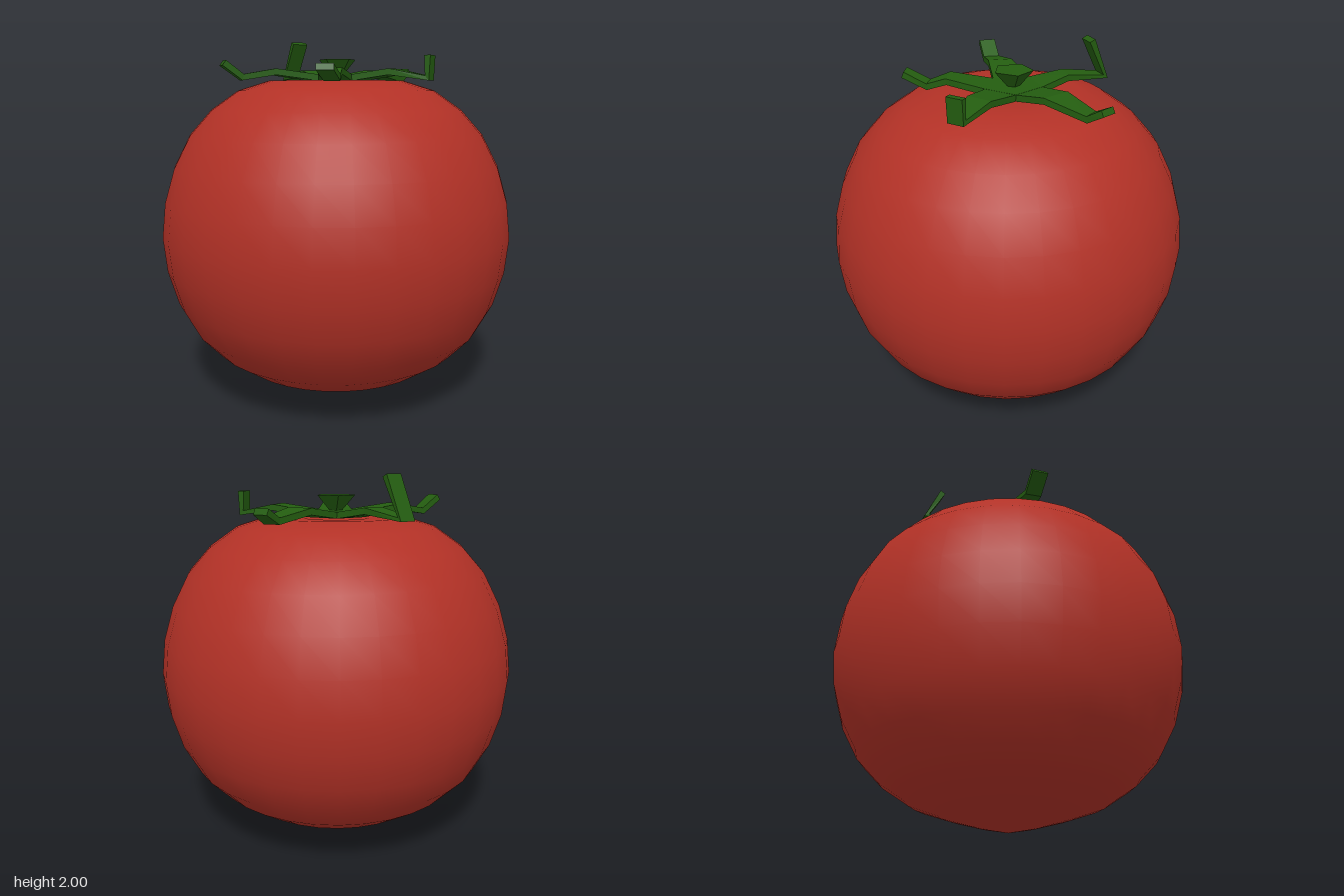
import * as THREE from 'three';

const red = new THREE.MeshStandardMaterial({ color: 0xb23126 });
red.name = 'tomatoRed';
const green = new THREE.MeshStandardMaterial({ color: 0x245d10, flatShading: true });
green.name = 'leafGreen';

// Corners between neighbouring sepals, [x, z], clockwise from the back left
const NOTCHES = [[-0.11, -0.13], [0.07, -0.17], [0.17, -0.01], [0.05, 0.13], [-0.12, 0.06]];

// Sepal cross-sections beyond the hub: [left x, left z, right x, right z, y]
const SEPALS = {
  sepalBack: [[-0.12, -0.32, -0.01, -0.33, 1.815], [-0.18, -0.54, -0.09, -0.56, 1.785], [-0.145, -0.445, -0.055, -0.465, 1.995]],
  sepalBackLeft: [[0.25, -0.26, 0.32, -0.12, 1.815], [0.45, -0.35, 0.51, -0.285, 1.78], [0.53, -0.41, 0.575, -0.34, 1.83]],
  sepalFrontLeft: [[0.32, 0.14, 0.22, 0.24, 1.815], [0.455, 0.285, 0.395, 0.355, 1.78], [0.455, 0.285, 0.395, 0.355, 1.9]],
  sepalFront: [[-0.06, 0.32, -0.18, 0.28, 1.815], [-0.1, 0.42, -0.18, 0.39, 1.78], [-0.17, 0.54, -0.255, 0.515, 1.83]],
  sepalRight: [[-0.35, 0.05, -0.35, -0.085, 1.815], [-0.53, 0.05, -0.53, -0.04, 1.785], [-0.63, 0.06, -0.635, -0.03, 1.86]],
};

// Sweeps a thin rectangular section through left/right point pairs
function ribbon(sections, thickness) {
  const left = sections.map(([x, z, , , y]) => new THREE.Vector3(x, y, z));
  const right = sections.map(([, , x, z, y]) => new THREE.Vector3(x, y, z));
  const mid = left.map((p, i) => p.clone().lerp(right[i], 0.5));
  const dir = (i) => mid[i + 1].clone().sub(mid[i]).normalize();
  const last = sections.length - 1;
  const rings = left.map((l, i) => {
    const tangent = new THREE.Vector3();
    if (i > 0) tangent.add(dir(i - 1));
    if (i < last) tangent.add(dir(i));
    const n = right[i].clone().sub(l).cross(tangent).normalize().multiplyScalar(thickness / 2);
    return [l.clone().add(n), right[i].clone().add(n), right[i].clone().sub(n), l.clone().sub(n)];
  });
  const points = [];
  const quad = (a, b, c, d) => points.push(a, b, c, a, c, d);
  for (let i = 0; i < last; i++) {
    for (let j = 0; j < 4; j++) {
      const k = (j + 1) % 4;
      quad(rings[i][j], rings[i][k], rings[i + 1][k], rings[i + 1][j]);
    }
  }
  const [a, b, c, d] = rings[0];
  quad(a, d, c, b);
  quad(...rings[last]);
  const geometry = new THREE.BufferGeometry().setFromPoints(points);
  geometry.computeVertexNormals();
  return geometry;
}

export function createModel() {
  const model = new THREE.Group();
  model.name = 'tomato';
  const add = (parent, name, geometry, material) => {
    const mesh = new THREE.Mesh(geometry, material);
    mesh.name = name;
    parent.add(mesh);
    return mesh;
  };

  // Fruit: pointed underside, shallow dimple on top
  const profile = [
    [0, 0], [0.19, 0.045], [0.375, 0.1], [0.545, 0.16], [0.695, 0.26], [0.815, 0.385],
    [0.905, 0.55], [0.96, 0.735], [0.98, 0.925], [0.96, 1.115], [0.905, 1.3], [0.815, 1.475],
    [0.695, 1.61], [0.545, 1.715], [0.375, 1.768], [0.19, 1.762], [0, 1.74],
  ].map(([x, y]) => new THREE.Vector2(x, y));
  add(model, 'fruit', new THREE.LatheGeometry(profile, 32), red);

  // Calyx: pentagonal hub with five bent sepals
  const calyx = new THREE.Group();
  calyx.name = 'calyx';
  model.add(calyx);
  const outline = new THREE.Shape(NOTCHES.map(([x, z]) => new THREE.Vector2(x, -z)));
  const hub = new THREE.ExtrudeGeometry(outline, { depth: 0.035, bevelEnabled: false });
  hub.rotateX(-Math.PI / 2);
  add(calyx, 'hub', hub, green).position.y = 1.768;
  Object.entries(SEPALS).forEach(([name, sections], i) => {
    const base = [...NOTCHES[i], ...NOTCHES[(i + 1) % 5], 1.785];
    add(calyx, name, ribbon([base, ...sections], 0.034), green);
  });

  // Stem stub: flared five-sided funnel
  const stem = add(calyx, 'stem', new THREE.CylinderGeometry(0.108, 0.03, 0.09, 5), green);
  stem.position.set(0.015, 1.84, -0.025);
  stem.rotation.y = Math.PI / 2 + 0.05;
  return model;
}
